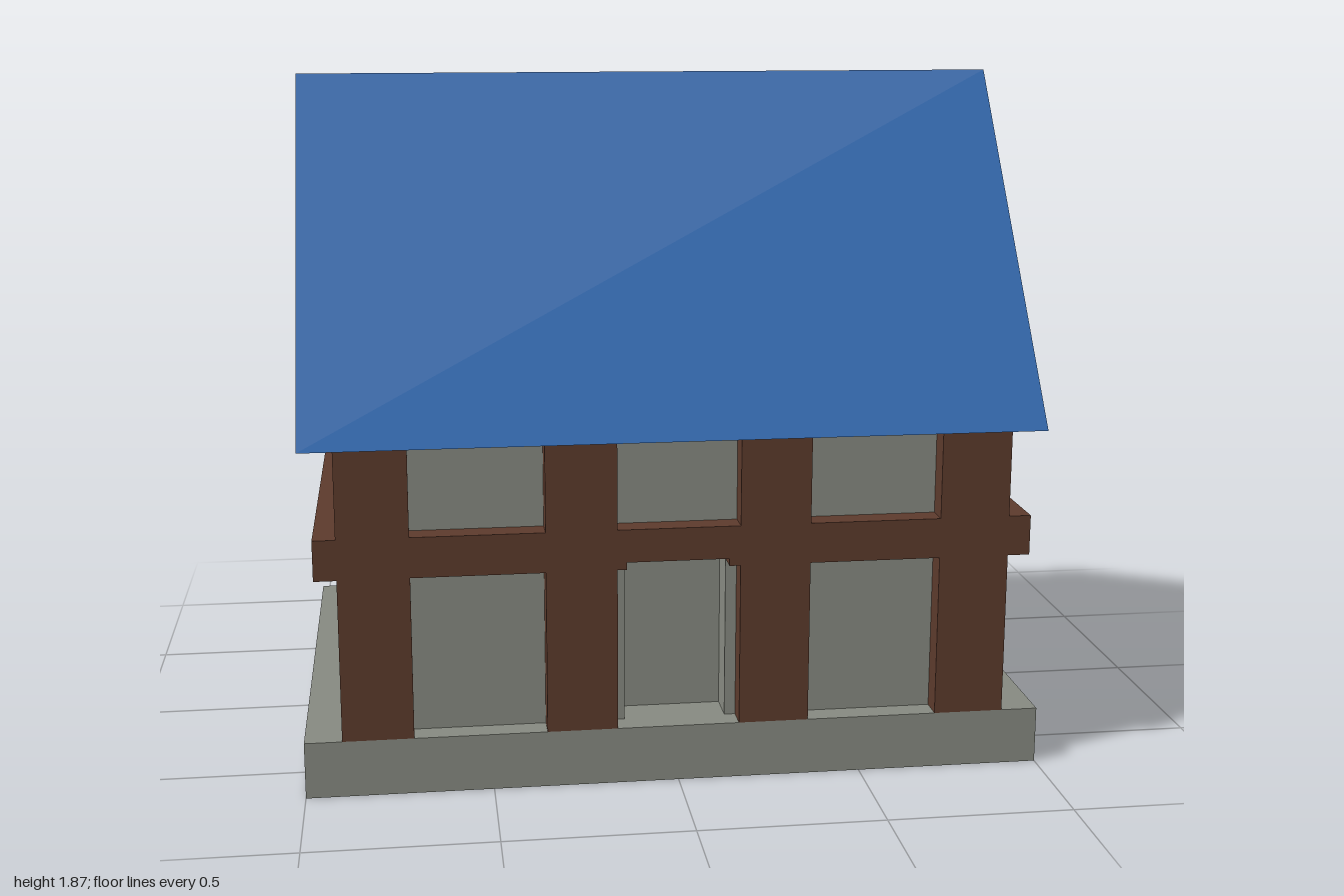
import * as THREE from 'three';

const stone = new THREE.MeshStandardMaterial({ color: 0x868980 });
stone.name = 'stone grey';
const timber = new THREE.MeshStandardMaterial({ color: 0x5c3a2c });
timber.name = 'timber brown';
const tiles = new THREE.MeshStandardMaterial({ color: 0x2562a8 });
tiles.name = 'roof blue';

export function createModel() {
  const house = new THREE.Group();
  house.name = 'house';

  const add = (name, geometry, material) => {
    const mesh = new THREE.Mesh(geometry, material);
    mesh.name = name;
    house.add(mesh);
    return mesh;
  };

  // Box given by its lower and upper bounds
  const block = (name, material, x0, x1, y0, y1, z0, z1) =>
    add(name, new THREE.BoxGeometry(x1 - x0, y1 - y0, z1 - z0)
      .translate((x0 + x1) / 2, (y0 + y1) / 2, (z0 + z1) / 2), material);

  const outline = (points) => new THREE.Shape(points.map(([x, y]) => new THREE.Vector2(x, y)));

  // Outline in x and y, extruded from z0 to z1
  const slab = (name, material, shape, z0, z1) =>
    add(name, new THREE.ExtrudeGeometry(shape, { depth: z1 - z0, bevelEnabled: false })
      .translate(0, 0, z0), material);

  // Symmetric outline in z and y, extruded along the length of the house
  const lengthwise = (name, material, points, half) =>
    add(name, new THREE.ExtrudeGeometry(outline(points), { depth: 2 * half, bevelEnabled: false })
      .translate(0, 0, -half).rotateY(Math.PI / 2), material);

  const floor = 0.155, eave = 0.95, wallX = 0.89, wallZ = 0.61, coreZ = 0.515, faceZ = 0.675;
  const beamLow = 0.6, beamHigh = 0.71, beamX = 0.96;
  const doorLeft = 0.135, doorRight = -0.14, doorTop = 0.62;
  const windowIn = 0.355, windowOut = 0.555;

  block('foundation', stone, -1, 1, 0, floor, -faceZ, faceZ);

  // Solid core with both gables
  lengthwise('gableWalls', stone,
    [[-coreZ, floor], [coreZ, floor], [coreZ, eave], [0, 1.62], [-coreZ, eave]], wallX);

  // Front wall with the door recess
  slab('frontWall', stone, outline([
    [-wallX, floor], [doorRight, floor], [doorRight, doorTop], [doorLeft, doorTop],
    [doorLeft, floor], [wallX, floor], [wallX, eave], [-wallX, eave],
  ]), coreZ, wallZ);

  // Back wall with two window recesses
  const back = outline([[-wallX, floor], [wallX, floor], [wallX, eave], [-wallX, eave]]);
  for (const s of [-1, 1]) {
    const hole = [[windowIn, 0.53], [windowIn, 0.74], [windowOut, 0.74], [windowOut, 0.53]];
    back.holes.push(new THREE.Path(hole.map(([x, y]) => new THREE.Vector2(s * x, y))));
  }
  slab('backWall', stone, back, -wallZ, -coreZ);

  // Upright posts on front and back
  for (const s of [-1, 1]) {
    for (const [a, b] of [[0.71, 0.9], [0.165, 0.355]]) {
      const [x0, x1] = s > 0 ? [a, b] : [-b, -a];
      block('frontPost', timber, x0, x1, floor, eave, 0.5, faceZ);
      block('backPost', timber, x0, x1, floor, eave, -faceZ, -0.5);
    }
  }

  // Beam ring, notched over the door and cut by the windows
  slab('frontBeam', timber, outline([
    [-beamX, beamLow], [doorRight, beamLow], [doorRight, doorTop], [doorLeft, doorTop],
    [doorLeft, beamLow], [beamX, beamLow], [beamX, beamHigh], [-beamX, beamHigh],
  ]), coreZ, faceZ);
  block('doorLintel', timber, doorRight, doorLeft, beamLow, doorTop, coreZ - 0.003, coreZ + 0.003);
  for (const [x0, x1] of [[-beamX, -windowOut], [-windowIn, windowIn], [windowOut, beamX]]) {
    block('backBeam', timber, x0, x1, beamLow, beamHigh, -faceZ, -coreZ);
  }
  for (const s of [-1, 1]) {
    const mid = s * (windowIn + windowOut) / 2, half = (windowOut - windowIn) / 2;
    block('windowCrossbar', timber, mid - half, mid + half, beamLow, beamHigh,
      -coreZ - 0.004, -coreZ + 0.004);
    const [x0, x1] = s > 0 ? [0.87, beamX] : [-beamX, -0.87];
    block('sideBeam', timber, x0, x1, beamLow, beamHigh, -faceZ, faceZ);
  }

  // Roof: outer layer and a shorter inner layer
  const chevron = (zOut, top, zIn, under) => [
    [-zOut, eave], [-zIn, eave], [0, under], [zIn, eave], [zOut, eave], [0, top],
  ];
  lengthwise('outerRoof', tiles, chevron(0.7, 1.87, 0.525, 1.7), 0.99);
  lengthwise('innerRoof', tiles, chevron(0.527, 1.702, 0.465, 1.57), 0.94);

  block('chimney', stone, 0.42, 0.65, 1.3, 1.695, -0.325, -0.14);

  return house;
}
